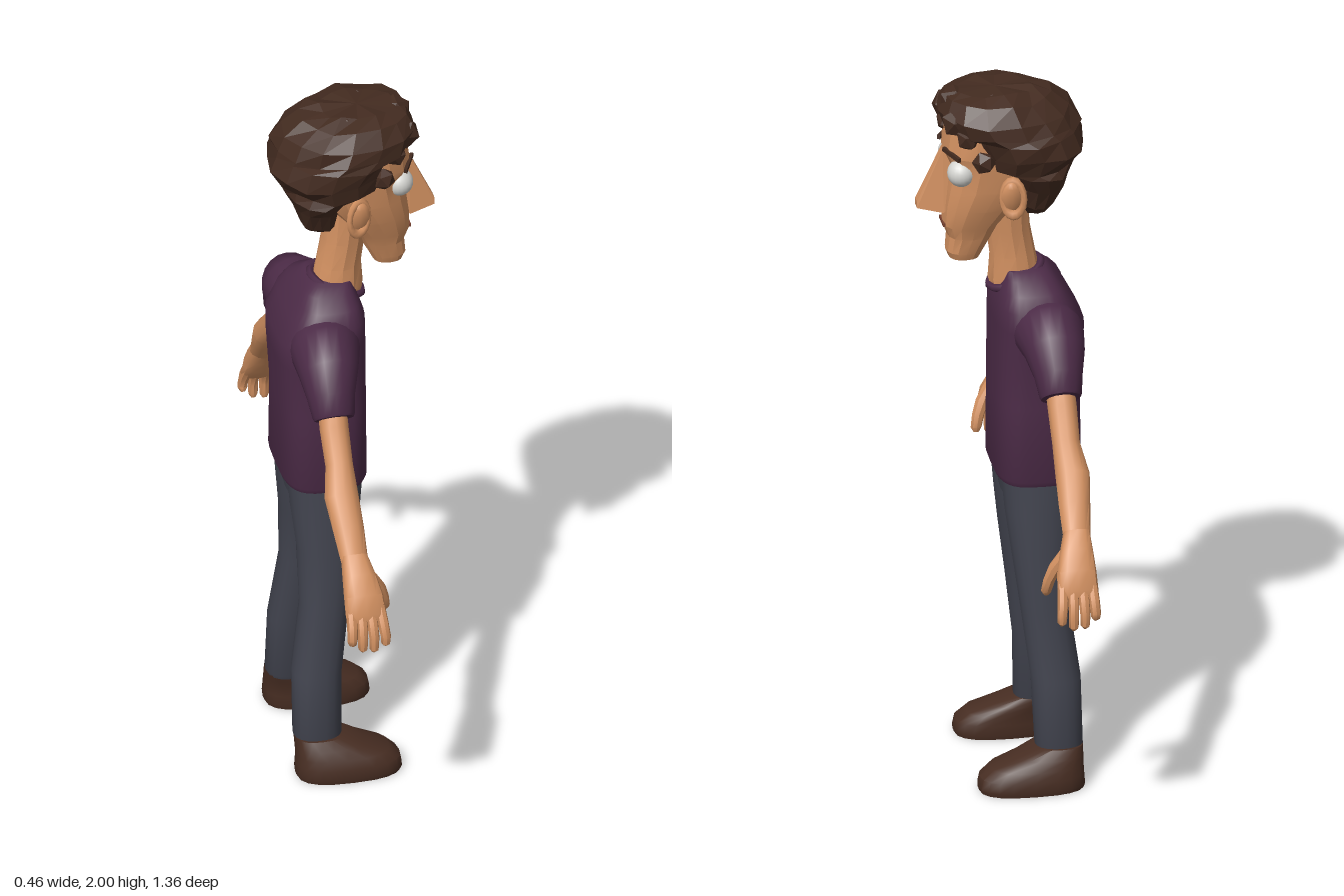
import * as THREE from 'three';
import { toCreasedNormals } from 'three/addons/utils/BufferGeometryUtils.js';
import { ConvexGeometry } from 'three/addons/geometries/ConvexGeometry.js';

const mat = (name, color) => Object.assign(new THREE.MeshStandardMaterial({ color }), { name });

// Loft of oval rings. Row: [x, y, z, half width, half depth].
// Rings lie flat when upright, otherwise they turn with the path in the xy plane.
function loft(rows, { sides = 12, power = 1, upright = false, crease = 0.7, jitter = 0 } = {}) {
  const pos = [], index = [], Z = new THREE.Vector3(0, 0, 1);
  let seed = 7;
  const rand = () => (seed = (seed * 16807) % 2147483647) / 2147483647 - 0.5;
  const bend = (t) => Math.sign(t) * Math.pow(Math.abs(t), power);
  rows.forEach(([x, y, z, rw, rz], i) => {
    const a = rows[Math.max(i - 1, 0)], b = rows[Math.min(i + 1, rows.length - 1)];
    const d = upright ? new THREE.Vector3(0, 1, 0)
      : new THREE.Vector3(b[0] - a[0], b[1] - a[1], 0).normalize();
    const v = d.cross(Z).normalize();
    for (let k = 0; k < sides; k++) {
      const t = (k / sides) * Math.PI * 2;
      const c = bend(Math.cos(t)) * rz, s = bend(Math.sin(t)) * rw, j = 1 + rand() * jitter;
      pos.push(x + v.x * s * j, y + v.y * s * j + rand() * jitter * 0.12, z + c * j);
    }
  });
  const n = rows.length;
  for (let i = 0; i < n - 1; i++) {
    for (let k = 0; k < sides; k++) {
      const a = i * sides + k, b = i * sides + (k + 1) % sides;
      index.push(a, b, b + sides, a, b + sides, a + sides);
    }
  }
  // end caps
  const first = rows[0], last = rows[n - 1], c0 = n * sides, top = (n - 1) * sides;
  pos.push(first[0], first[1], first[2], last[0], last[1], last[2]);
  for (let k = 0; k < sides; k++) {
    const m = (k + 1) % sides;
    index.push(c0, m, k, c0 + 1, top + k, top + m);
  }
  const g = new THREE.BufferGeometry();
  g.setAttribute('position', new THREE.Float32BufferAttribute(pos, 3));
  g.setIndex(index);
  return toCreasedNormals(g, crease);
}

// Row for upright parts given as [y, back z, front z, half width].
const slab = ([y, back, front, w]) => [0, y, (back + front) / 2, w, (front - back) / 2];

export function createModel() {
  const skin = mat('skin', 0xd49262), hairColor = mat('hair brown', 0x432b20);
  const shirt = mat('shirt purple', 0x4c2b47), denim = mat('trouser grey', 0x42444f);
  const leather = mat('shoe brown', 0x472d22), white = mat('eye white', 0xd6d6d2);
  const lip = mat('mouth brown', 0x7a4432);

  const body = new THREE.Group();
  body.name = 'figure';
  const add = (name, geo, material, parent = body) => {
    const m = new THREE.Mesh(geo, material);
    m.name = name;
    parent.add(m);
    return m;
  };

  // Head and neck
  add('neck', loft([
    [1.38, -0.11, 0.015, 0.065], [1.43, -0.115, 0.03, 0.066], [1.5, -0.1, 0.025, 0.06],
    [1.58, -0.085, 0.035, 0.064], [1.7, -0.08, 0.05, 0.075],
  ].map(slab), { upright: true, crease: 0.5 }), skin);
  add('head', loft([
    [1.5, 0.055, 0.138, 0.045], [1.52, 0.045, 0.146, 0.053], [1.565, 0.02, 0.142, 0.062],
    [1.6, 0, 0.155, 0.075], [1.66, -0.05, 0.154, 0.098], [1.72, -0.1, 0.146, 0.114],
    [1.78, -0.12, 0.138, 0.121], [1.82, -0.13, 0.156, 0.127], [1.9, -0.12, 0.148, 0.125],
    [1.95, -0.08, 0.1, 0.09],
  ].map(slab), { sides: 16, power: 0.8, upright: true, crease: 0.3 }), skin);
  const nosePoints = [];
  for (const s of [-1, 1]) {
    for (const [x, y, z] of [[0.013, 1.82, 0.155], [0.015, 1.82, 0.12], [0.014, 1.67, 0.226],
      [0.017, 1.652, 0.226], [0.031, 1.638, 0.155], [0.03, 1.66, 0.135]]) {
      nosePoints.push(new THREE.Vector3(s * x, y, z));
    }
  }
  add('nose', new ConvexGeometry(nosePoints), skin);
  add('mouth', new THREE.BoxGeometry(0.062, 0.009, 0.008), lip).position.set(0, 1.602, 0.153);

  // Hair mass with side locks, then loose curls on the crown and fringe
  add('hair', loft([
    [1.62, -0.125, -0.065, 0.04], [1.66, -0.15, -0.05, 0.1], [1.72, -0.172, -0.045, 0.135],
    [1.765, -0.195, 0.0, 0.16], [1.785, -0.205, 0.07, 0.165], [1.83, -0.232, 0.08, 0.18],
    [1.88, -0.22, 0.105, 0.18], [1.895, -0.215, 0.16, 0.178], [1.935, -0.195, 0.172, 0.166],
    [1.975, -0.14, 0.145, 0.125], [1.992, -0.09, 0.115, 0.075],
  ].map(slab), { sides: 15, power: 0.9, upright: true, crease: 0, jitter: 0.1 }), hairColor);
  const curls = [
    [0, 1.955, 0.12, 0.045], [0.065, 1.92, 0.125, 0.045], [-0.06, 1.92, 0.13, 0.045],
    [-0.03, 1.885, 0.135, 0.032], [0.1, 1.885, 0.1, 0.035], [-0.105, 1.885, 0.095, 0.035],
    [0.12, 1.82, 0.06, 0.034], [-0.12, 1.82, 0.06, 0.034], [0.06, 1.95, 0.04, 0.045],
    [-0.06, 1.95, -0.03, 0.045], [0.13, 1.86, -0.05, 0.05], [-0.13, 1.86, -0.05, 0.05],
  ];
  curls.forEach(([x, y, z, r], i) => {
    const m = add('curl', new THREE.IcosahedronGeometry(r, 0), hairColor);
    m.position.set(x, y, z);
    m.rotation.set(i, i * 2, i * 0.7);
  });

  // Shirt
  add('shirtBody', loft([
    [0.87, -0.208, 0.018, 0.17], [0.885, -0.214, 0.024, 0.176], [1.1, -0.212, 0.023, 0.168],
    [1.25, -0.222, 0.022, 0.168], [1.32, -0.222, 0.02, 0.178], [1.38, -0.19, 0.018, 0.175],
    [1.42, -0.165, 0.005, 0.145], [1.445, -0.145, -0.005, 0.1], [1.465, -0.125, -0.01, 0.075],
  ].map(slab), { sides: 32, power: 0.6, upright: true, crease: 0.8 }), shirt);
  const collar = add('collar', new THREE.TorusGeometry(0.069, 0.011, 6, 24), shirt);
  collar.position.set(0, 1.435, -0.045);
  collar.rotation.x = Math.PI / 2 + 0.42;
  collar.scale.y = 1.1;

  // Hips
  add('hips', loft([
    [0.775, -0.15, -0.045, 0.06], [0.8, -0.185, -0.005, 0.13], [0.9, -0.2, 0.01, 0.164],
  ].map(slab), { sides: 20, power: 0.75, upright: true }), denim);

  // Paired parts, s is the side
  for (const s of [-1, 1]) {
    const side = new THREE.Group();
    side.name = s > 0 ? 'leftSide' : 'rightSide';
    body.add(side);
    const limb = (name, rows, material, options) =>
      add(name, loft(rows.map(([x, ...rest]) => [s * x, ...rest]), options), material, side);

    const eye = add('eye', new THREE.SphereGeometry(0.039, 20, 14), white, side);
    eye.position.set(s * 0.072, 1.773, 0.114);
    const brow = add('eyebrow', new THREE.BoxGeometry(0.075, 0.012, 0.009), hairColor, side);
    brow.position.set(s * 0.072, 1.828, 0.141);
    brow.rotation.set(0, s * 0.45, s * -0.12);

    // ear shell and rim
    const ear = add('ear', new THREE.SphereGeometry(1, 10, 8), skin, side);
    ear.scale.set(0.02, 0.058, 0.032);
    ear.position.set(s * 0.138, 1.716, -0.012);
    ear.rotation.z = s * -0.3;
    const rim = add('earRim', new THREE.TorusGeometry(0.03, 0.009, 6, 16), skin, side);
    rim.position.set(s * 0.149, 1.72, -0.014);
    rim.rotation.set(0, Math.PI / 2 - s * 0.35, 0);
    rim.scale.y = 1.65;

    limb('sleeve', [
      [0.09, 1.315, -0.105, 0.085, 0.09], [0.165, 1.32, -0.11, 0.09, 0.095],
      [0.225, 1.293, -0.115, 0.088, 0.082], [0.265, 1.24, -0.118, 0.07, 0.066],
      [0.298, 1.196, -0.118, 0.058, 0.058], [0.303, 1.19, -0.118, 0.054, 0.054],
    ], shirt, { sides: 20, crease: 0.9 });
    limb('arm', [
      [0.26, 1.24, -0.118, 0.04, 0.04], [0.31, 1.165, -0.12, 0.042, 0.04],
      [0.37, 1.085, -0.12, 0.04, 0.038], [0.43, 1.02, -0.127, 0.042, 0.047],
      [0.49, 0.955, -0.122, 0.036, 0.043], [0.55, 0.885, -0.118, 0.027, 0.037],
    ], skin, { crease: 0.6 });
    limb('palm', [
      [0.54, 0.9, -0.118, 0.028, 0.036], [0.575, 0.855, -0.112, 0.032, 0.046],
      [0.608, 0.81, -0.107, 0.032, 0.054], [0.635, 0.765, -0.106, 0.022, 0.056],
      [0.642, 0.75, -0.106, 0.014, 0.05],
    ], skin, { power: 0.85 });
    for (const [z0, z1, tip] of [[-0.145, -0.15, 0.69], [-0.119, -0.121, 0.668],
      [-0.093, -0.09, 0.664], [-0.067, -0.058, 0.68]]) {
      limb('finger', [
        [0.618, 0.79, z0, 0.018, 0.015], [0.65, 0.745, (z0 + z1) / 2, 0.018, 0.015],
        [0.664, 0.71, z1, 0.016, 0.014], [0.661, tip + 0.01, z1, 0.014, 0.013],
        [0.656, tip, z1, 0.006, 0.006],
      ], skin, { sides: 8 });
    }
    limb('thumb', [
      [0.572, 0.855, -0.09, 0.022, 0.026], [0.562, 0.81, -0.058, 0.02, 0.021],
      [0.552, 0.77, -0.042, 0.017, 0.017], [0.545, 0.735, -0.035, 0.014, 0.015],
      [0.542, 0.722, -0.035, 0.006, 0.007],
    ], skin, { sides: 8 });

    limb('trouserLeg', [
      [0.167, 0.105, -0.135, 0.054, 0.062], [0.167, 0.115, -0.135, 0.057, 0.066],
      [0.143, 0.3, -0.131, 0.063, 0.068], [0.123, 0.5, -0.105, 0.064, 0.067],
      [0.107, 0.67, -0.096, 0.073, 0.081], [0.088, 0.78, -0.095, 0.083, 0.094],
      [0.083, 0.89, -0.095, 0.081, 0.104],
    ], denim, { sides: 18, power: 0.85, upright: true });
    limb('shoe', [
      [0.195, 0, -0.055, 0.078, 0.143], [0.195, 0.012, -0.055, 0.081, 0.147],
      [0.194, 0.04, -0.057, 0.079, 0.143], [0.19, 0.065, -0.071, 0.074, 0.128],
      [0.182, 0.09, -0.105, 0.068, 0.094], [0.172, 0.115, -0.132, 0.06, 0.067],
    ], leather, { sides: 20, power: 0.75, upright: true });
  }

  // The figure looks along +x
  body.rotation.y = Math.PI / 2;
  const model = new THREE.Group();
  model.name = 'standingMan';
  model.add(body);
  return model;
}
